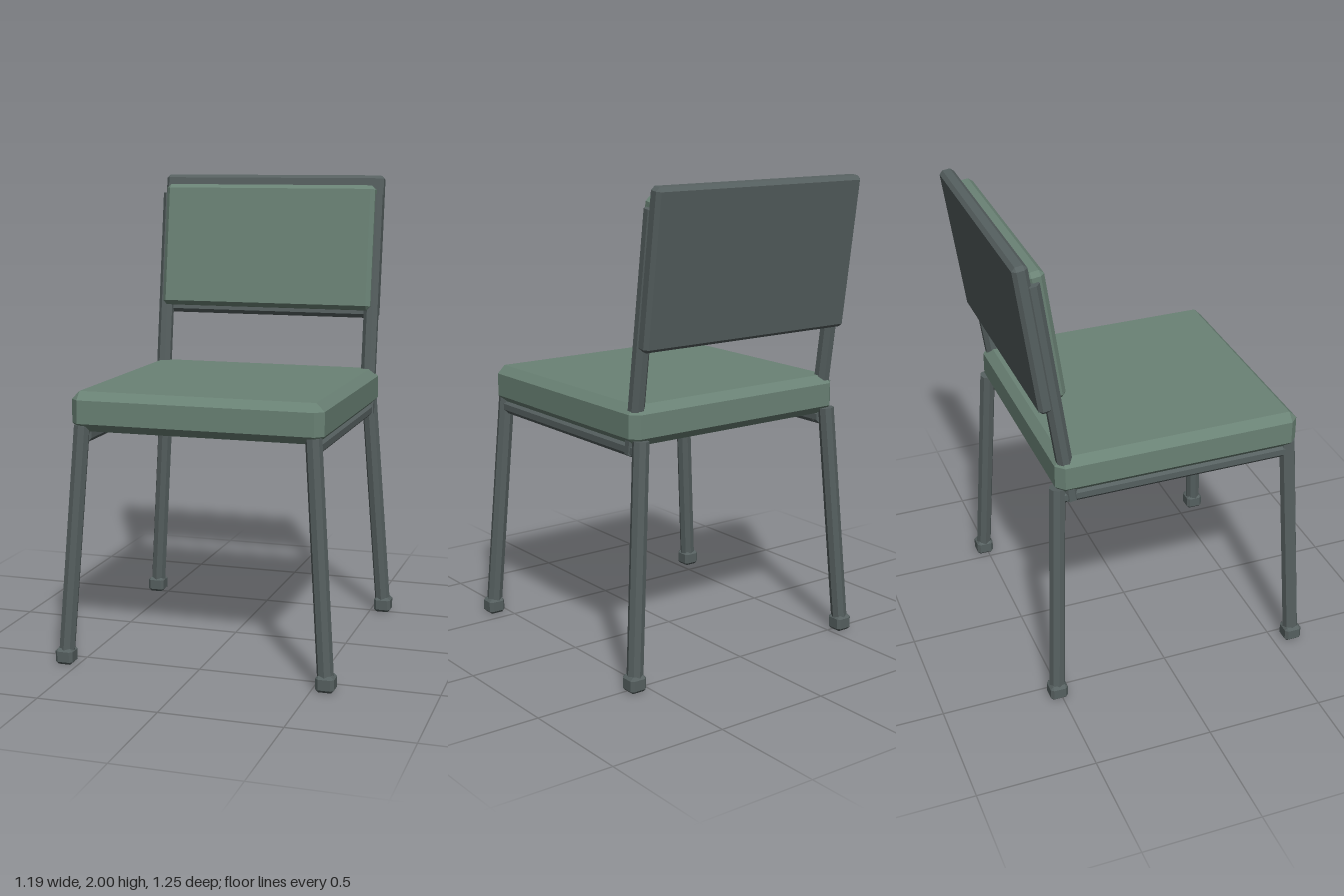
import * as THREE from 'three';
import { ConvexGeometry } from 'three/addons/geometries/ConvexGeometry.js';

const frameMat = new THREE.MeshStandardMaterial({ color: 0x566060, flatShading: true });
const padMat = new THREE.MeshStandardMaterial({ color: 0x6a8275, flatShading: true });

// Box with every edge and corner chamfered by c
function chamferBox(name, w, h, d, c, mat) {
  const half = [w / 2, h / 2, d / 2];
  const points = [];
  for (const sx of [-1, 1]) for (const sy of [-1, 1]) for (const sz of [-1, 1]) {
    for (let axis = 0; axis < 3; axis++) {
      const p = half.map((v, i) => (i === axis ? v : v - c));
      points.push(new THREE.Vector3(sx * p[0], sy * p[1], sz * p[2]));
    }
  }
  const mesh = new THREE.Mesh(new ConvexGeometry(points), mat);
  mesh.name = name;
  return mesh;
}

// Eight-sided tube between two points
function rod(name, from, to, radius = 0.034) {
  const a = new THREE.Vector3(...from);
  const b = new THREE.Vector3(...to);
  const dir = b.clone().sub(a);
  const geo = new THREE.CylinderGeometry(radius, radius, dir.length(), 8);
  geo.rotateY(Math.PI / 8);
  const mesh = new THREE.Mesh(geo, frameMat);
  mesh.name = name;
  mesh.position.copy(a).add(b).multiplyScalar(0.5);
  mesh.quaternion.setFromUnitVectors(new THREE.Vector3(0, 1, 0), dir.normalize());
  return mesh;
}

export function createModel() {
  const chair = new THREE.Group();
  chair.name = 'chair';

  // Padded seat
  const seat = chamferBox('seat', 1.06, 0.165, 1.055, 0.034, padMat);
  seat.position.set(0, 1.0625, 0.0475);
  chair.add(seat);

  // Leaning backrest: rear board and front cushion
  const lean = -THREE.MathUtils.degToRad(8);
  const board = chamferBox('backBoard', 1.03, 0.638, 0.062, 0.015, frameMat);
  board.position.set(0, 1.68, -0.55);
  const cushion = chamferBox('backCushion', 0.98, 0.555, 0.072, 0.018, padMat);
  cushion.position.set(0, 1.678, -0.49);
  for (const part of [board, cushion]) {
    part.rotation.x = lean;
    chair.add(part);
  }

  for (const [side, s] of [['left', 1], ['right', -1]]) {
    // Splayed legs with block feet
    for (const [end, topZ, footZ] of [['Front', 0.543, 0.584], ['Back', -0.468, -0.514]]) {
      chair.add(rod(`${side}${end}Leg`, [s * 0.487, 1.005, topZ], [s * 0.555, 0.04, footZ]));
      const foot = chamferBox(`${side}${end}Foot`, 0.076, 0.068, 0.076, 0.012, frameMat);
      foot.position.set(s * 0.557, 0.034, footZ);
      chair.add(foot);
    }
    // Rail under the seat and post carrying the backrest
    chair.add(rod(`${side}SeatRail`, [s * 0.483, 0.963, 0.53], [s * 0.483, 0.963, -0.45]));
    chair.add(rod(`${side}BackPost`, [s * 0.487, 0.945, -0.412], [s * 0.487, 1.912, -0.548]));
  }
  return chair;
}
